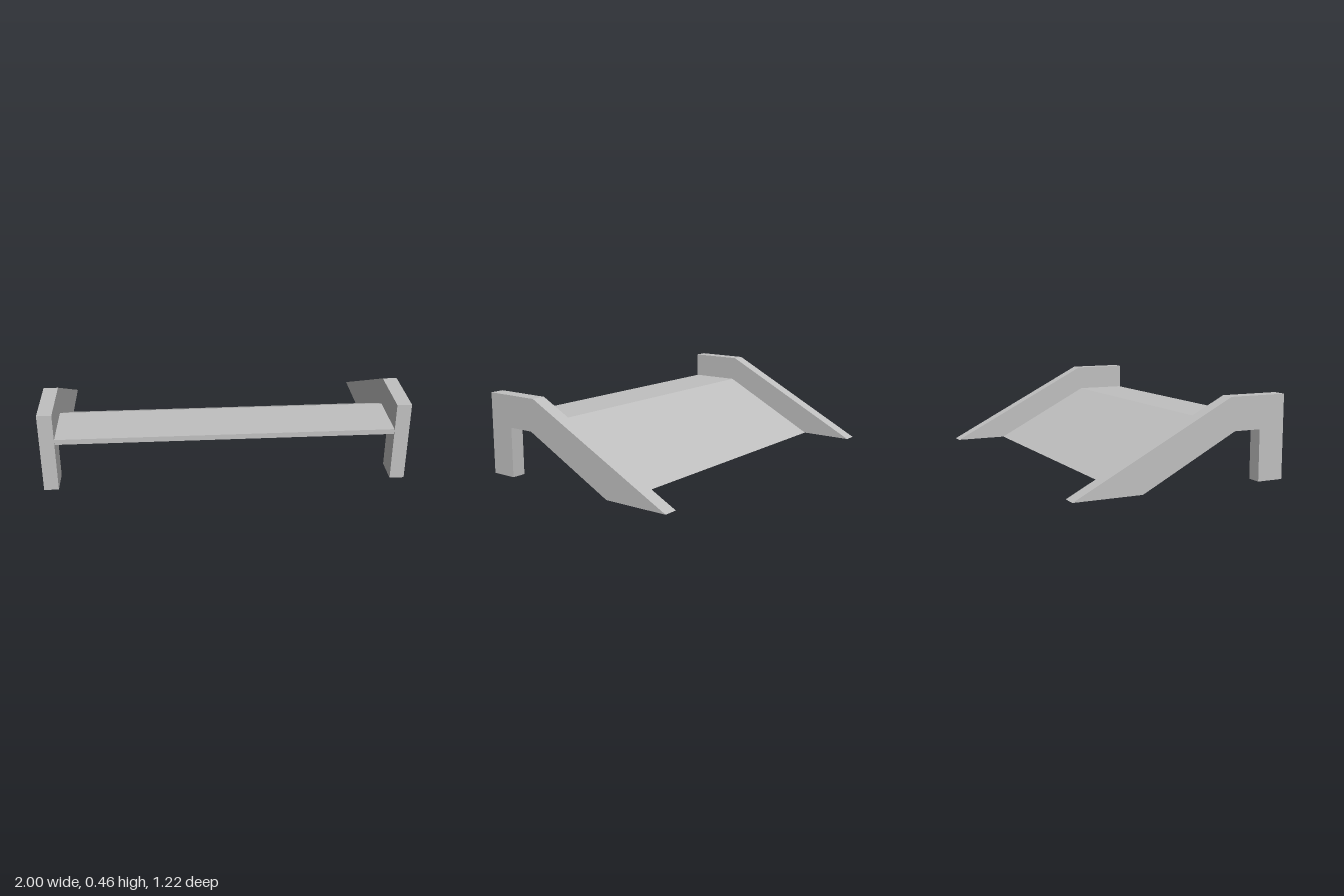
import * as THREE from 'three';

// Extrudes a (z, y) side profile along x, centred on x = 0, leaving ground faces open
function openPrism(points, width) {
  const shape = new THREE.Shape(points.map(([z, y]) => new THREE.Vector2(z, y)));
  const geometry = new THREE.ExtrudeGeometry(shape, { depth: width, bevelEnabled: false })
    .translate(0, 0, -width / 2)
    .rotateY(-Math.PI / 2)
    .toNonIndexed();
  const pos = geometry.getAttribute('position');
  const kept = [];
  for (let i = 0; i < pos.count; i += 3) {
    const onGround = [0, 1, 2].every((k) => Math.abs(pos.getY(i + k)) < 1e-5);
    if (onGround) continue;
    for (let k = 0; k < 3; k++) kept.push(pos.getX(i + k), pos.getY(i + k), pos.getZ(i + k));
  }
  const open = new THREE.BufferGeometry();
  open.setAttribute('position', new THREE.Float32BufferAttribute(kept, 3));
  open.computeVertexNormals();
  return open;
}

export function createModel() {
  const model = new THREE.Group();
  model.name = 'ramp';

  const grey = new THREE.MeshStandardMaterial({ color: 0xc0c0c0, side: THREE.DoubleSide, flatShading: true });
  grey.name = 'light grey';

  // Side walls: front leg, level top and a long sloping tail
  const wallProfile = [
    [0.61, 0], [0.61, 0.46], [0.28, 0.46], [-0.61, 0],
    [-0.23, 0], [0.305, 0.28], [0.46, 0.28], [0.46, 0],
  ];
  const wallWidth = 0.08;
  const wallGeometry = openPrism(wallProfile, wallWidth);
  for (const [name, side] of [['leftWall', 1], ['rightWall', -1]]) {
    const wall = new THREE.Mesh(wallGeometry, grey);
    wall.name = name;
    wall.position.x = side * (1 - wallWidth / 2);
    model.add(wall);
  }

  // Thin deck: level platform at the front, slope down to the ground behind
  const deckProfile = [
    [0.605, 0.28], [0.605, 0.31], [0.3, 0.31], [-0.295, 0], [-0.23, 0], [0.305, 0.28],
  ];
  const deck = new THREE.Mesh(openPrism(deckProfile, 2 - 2 * wallWidth), grey);
  deck.name = 'deck';
  model.add(deck);

  return model;
}
